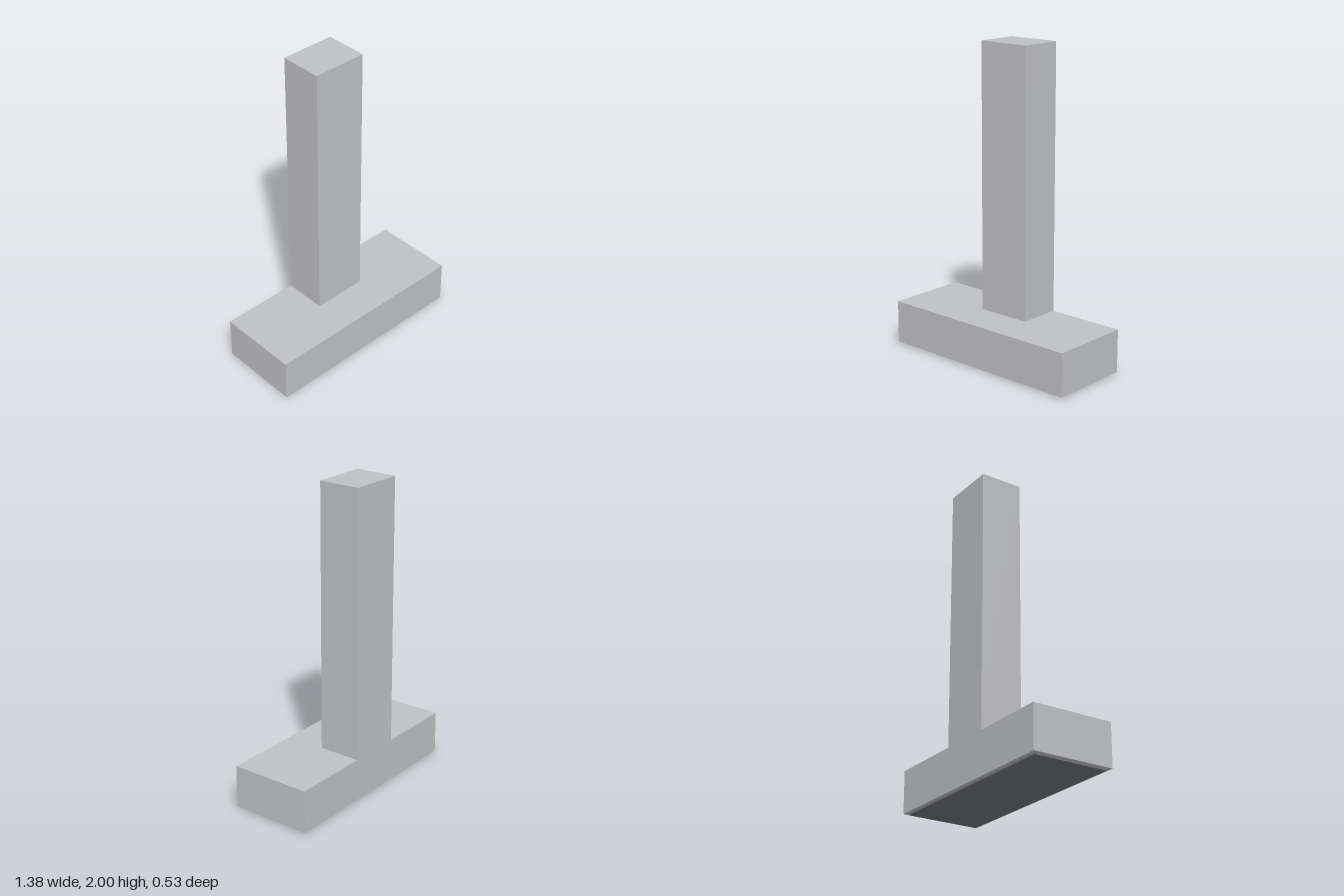
import * as THREE from 'three';

export function createModel() {
  const model = new THREE.Group();
  const grey = new THREE.MeshStandardMaterial({ color: 0xbfc0c2 });
  grey.name = 'light grey';
  const dark = new THREE.MeshStandardMaterial({ color: 0x707173 });
  dark.name = 'dark grey';

  // Box given by its half width and its y and z extents
  function block(name, halfWidth, y0, y1, z0, z1, material) {
    const mesh = new THREE.Mesh(new THREE.BoxGeometry(halfWidth * 2, y1 - y0, z1 - z0), material);
    mesh.position.set(0, (y0 + y1) / 2, (z0 + z1) / 2);
    mesh.name = name;
    model.add(mesh);
  }

  // Upright flush with the back of the base
  block('post', 0.178, 0.287, 2, -0.267, 0.01, grey);
  block('base', 0.69, 0.01, 0.287, -0.267, 0.267, grey);
  // Thin inset pad under the base
  block('footPad', 0.665, 0, 0.01, -0.242, 0.242, dark);

  return model;
}
